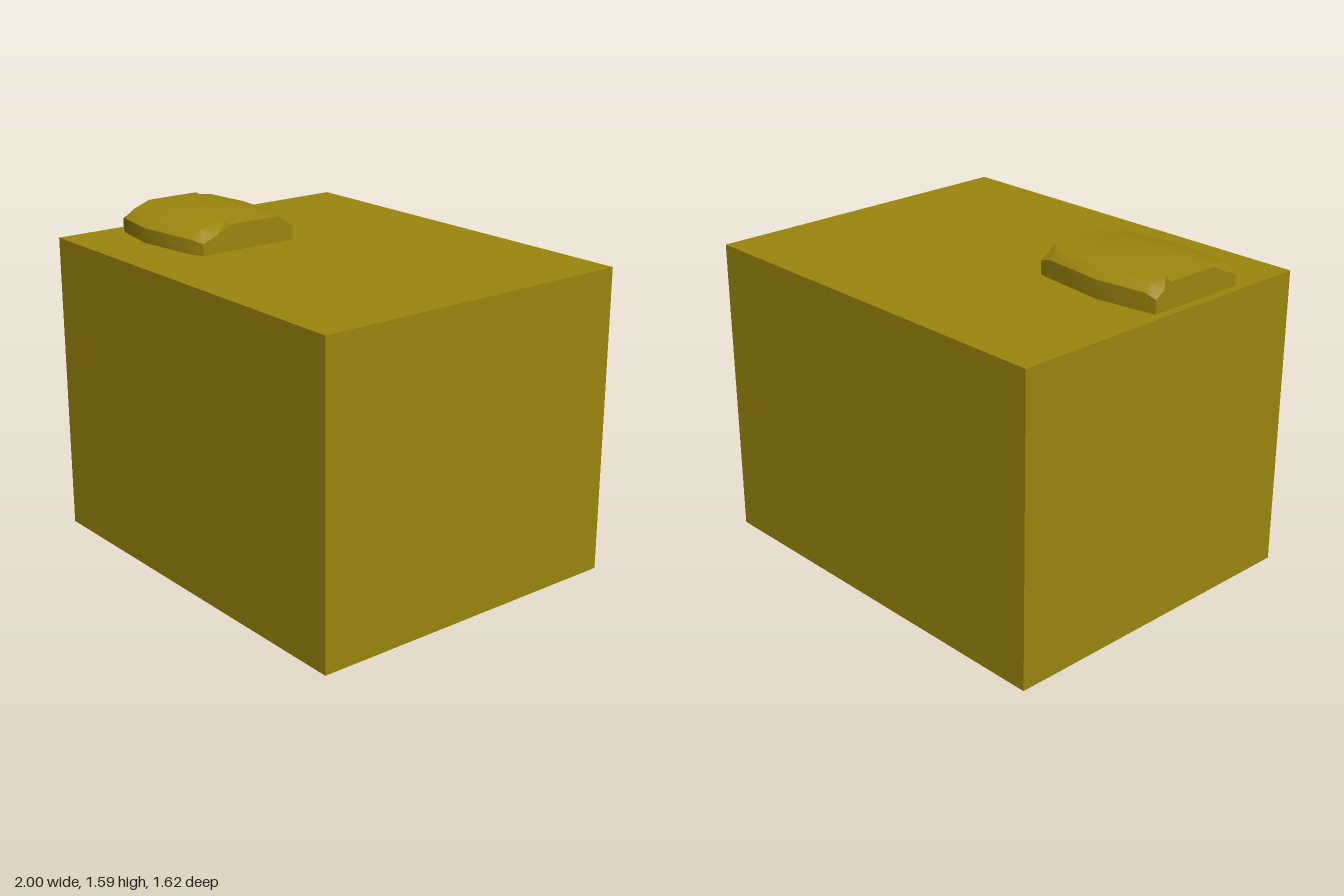
import * as THREE from 'three';
import { toCreasedNormals } from 'three/addons/utils/BufferGeometryUtils.js';

const material = new THREE.MeshStandardMaterial({ color: 0x9c870d, side: THREE.DoubleSide });

// Box shell without its underside
function openBox(w, h, d) {
  const geo = new THREE.BoxGeometry(w, h, d);
  const index = Array.from(geo.index.array);
  index.splice(18, 6);
  geo.setIndex(index);
  geo.clearGroups();
  return geo;
}

// Skin across equal-length [z, y] sections placed along x, with closed ends
function loft(sections) {
  const n = sections[0].points.length;
  const last = (sections.length - 1) * n;
  const pos = [];
  const index = [];
  for (const { x, points } of sections) for (const [z, y] of points) pos.push(x, y, z);
  for (let i = 0; i < sections.length - 1; i++) {
    for (let j = 0; j < n - 1; j++) {
      const a = i * n + j, b = a + n;
      index.push(a, b, a + 1, b, b + 1, a + 1);
    }
  }
  for (let j = 1; j < n - 1; j++) {
    index.push(0, j, j + 1);
    index.push(last, last + j + 1, last + j);
  }
  const geo = new THREE.BufferGeometry();
  geo.setAttribute('position', new THREE.Float32BufferAttribute(pos, 3));
  geo.setIndex(index);
  return toCreasedNormals(geo, 0.5);
}

export function createModel() {
  const group = new THREE.Group();
  const top = 1.455;

  // Hollow body, open underneath
  const body = new THREE.Mesh(openBox(2, top, 1.62), material);
  body.name = 'body';
  body.position.y = top / 2;
  group.add(body);

  // Roof hatch: bowed front and back, chamfered corners
  const middle = [[0.55, top], [0.55, 1.525], [0.48, 1.567], [0.3, 1.587],
    [0.1, 1.587], [-0.02, 1.573], [-0.073, 1.54], [-0.073, top]];
  const shoulder = [[0.51, top], [0.51, 1.525], [0.45, 1.562], [0.31, 1.585],
    [0.09, 1.585], [0, 1.57], [-0.04, 1.54], [-0.04, top]];
  const edge = [[0.48, top], [0.48, 1.51], [0.4, 1.54], [0.33, 1.578],
    [0.055, 1.578], [0.02, 1.55], [-0.03, 1.52], [-0.03, top]];
  const hatch = new THREE.Mesh(loft([
    { x: -0.957, points: edge },
    { x: -0.9, points: shoulder },
    { x: -0.66, points: middle },
    { x: -0.35, points: shoulder },
    { x: -0.285, points: edge },
  ]), material);
  hatch.name = 'roofHatch';
  group.add(hatch);

  return group;
}
